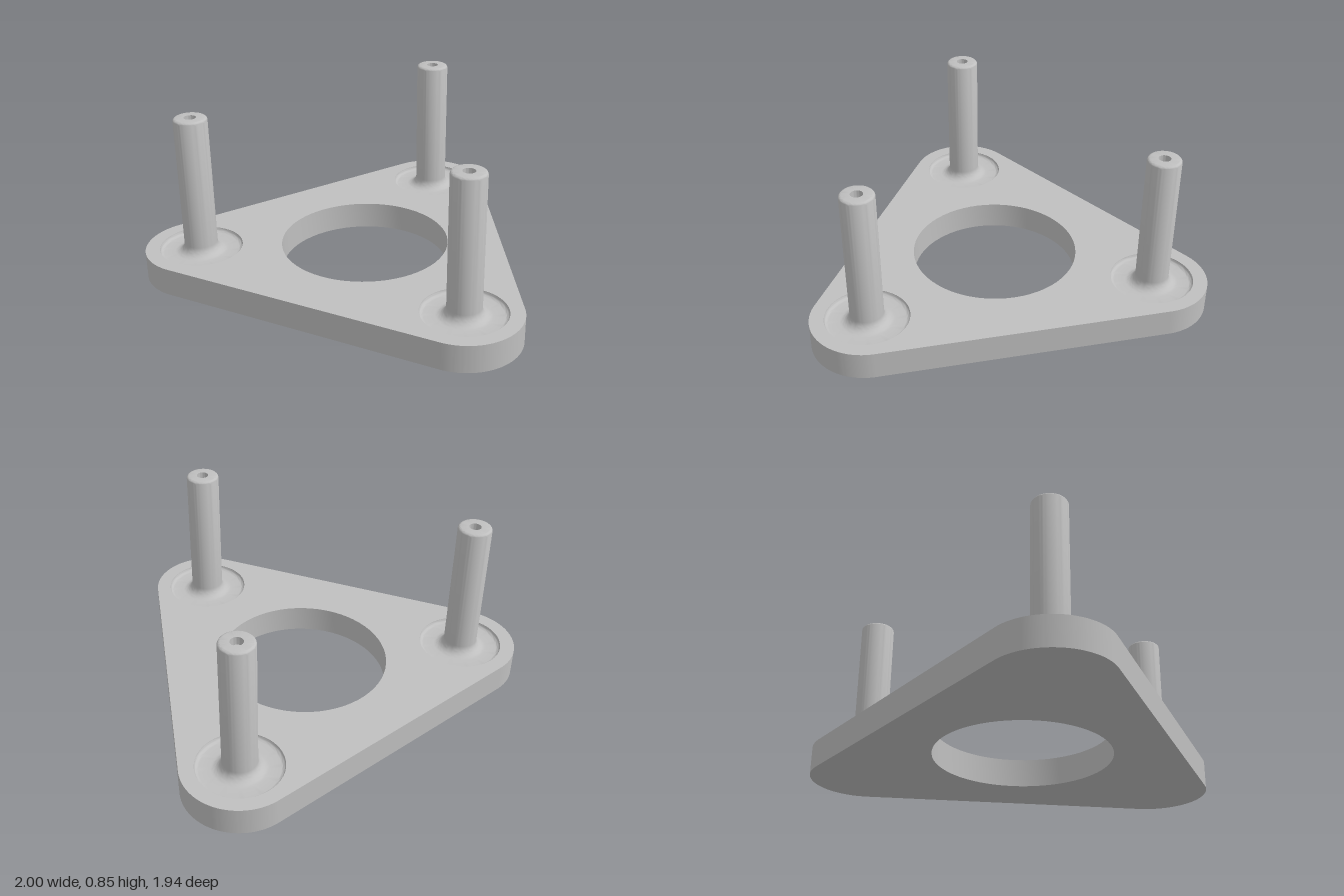
import * as THREE from 'three';
import { toCreasedNormals } from 'three/addons/utils/BufferGeometryUtils.js';

const CENTRE = { x: -0.077, z: -0.142 };
const THICK = 0.142, TOP = 0.847;
const CORNER_R = 0.282, BORE_R = 0.43, DISH_R = 0.21;
const POST_R = 0.084, SOCKET_R = 0.03, FLOOR = 0.122, FILLET = 0.05;

// Corner centres in the plan's own plane (plan y = -z)
const corners = [19.8, 139.8, 259.8].map((deg) => {
  const a = THREE.MathUtils.degToRad(deg);
  return { a, x: CENTRE.x + 0.842 * Math.cos(a), y: -CENTRE.z + 0.842 * Math.sin(a) };
});

function circleHole(x, y, r) {
  return new THREE.Path().absarc(x, y, r, 0, Math.PI * 2, true);
}

// Rounded triangular plate with a central bore and openings for the post seats
function plateGeometry() {
  const shape = new THREE.Shape();
  for (const c of corners) {
    shape.absarc(c.x, c.y, CORNER_R, c.a - Math.PI / 3, c.a + Math.PI / 3, false);
  }
  shape.closePath();
  shape.holes.push(circleHole(CENTRE.x, -CENTRE.z, BORE_R));
  for (const c of corners) shape.holes.push(circleHole(c.x, c.y, DISH_R));
  const geo = new THREE.ExtrudeGeometry(shape, { depth: THICK, bevelEnabled: false, curveSegments: 32 });
  geo.rotateX(-Math.PI / 2);
  return toCreasedNormals(geo, 0.5);
}

// Points along an arc of a profile
function arc(cx, cy, r, from, to, steps) {
  return Array.from({ length: steps + 1 }, (_, i) => {
    const t = from + ((to - from) * i) / steps;
    return new THREE.Vector2(cx + r * Math.cos(t), cy + r * Math.sin(t));
  });
}

// Dished seat, filleted post and socket in its tip, turned as one profile
function postGeometry() {
  const v = (x, y) => new THREE.Vector2(x, y);
  const rim = 0.02, tip = 0.015;
  const profile = [
    v(0, 0), v(DISH_R, 0),
    ...arc(DISH_R - rim, FLOOR + rim, rim, 0, -Math.PI / 2, 6),
    ...arc(POST_R + FILLET, FLOOR + FILLET, FILLET, -Math.PI / 2, -Math.PI, 10),
    ...arc(POST_R - tip, TOP - tip, tip, 0, Math.PI / 2, 5),
    v(SOCKET_R, TOP), v(SOCKET_R, TOP - 0.04), v(0, TOP - 0.04),
  ];
  return toCreasedNormals(new THREE.LatheGeometry(profile, 64), 0.6);
}

export function createModel() {
  const grey = new THREE.MeshStandardMaterial({ color: 0xbfbfbf });
  grey.name = 'plain grey';

  const model = new THREE.Group();
  model.name = 'threePostPlate';

  const plate = new THREE.Mesh(plateGeometry(), grey);
  plate.name = 'plate';
  model.add(plate);

  const geo = postGeometry();
  ['rightHandPost', 'rearPost', 'frontPost'].forEach((name, i) => {
    const post = new THREE.Mesh(geo, grey);
    post.name = ['leftPost', 'rearRightPost', 'frontPost'][i];
    post.position.set(corners[i].x, 0, -corners[i].y);
    model.add(post);
  });
  return model;
}
